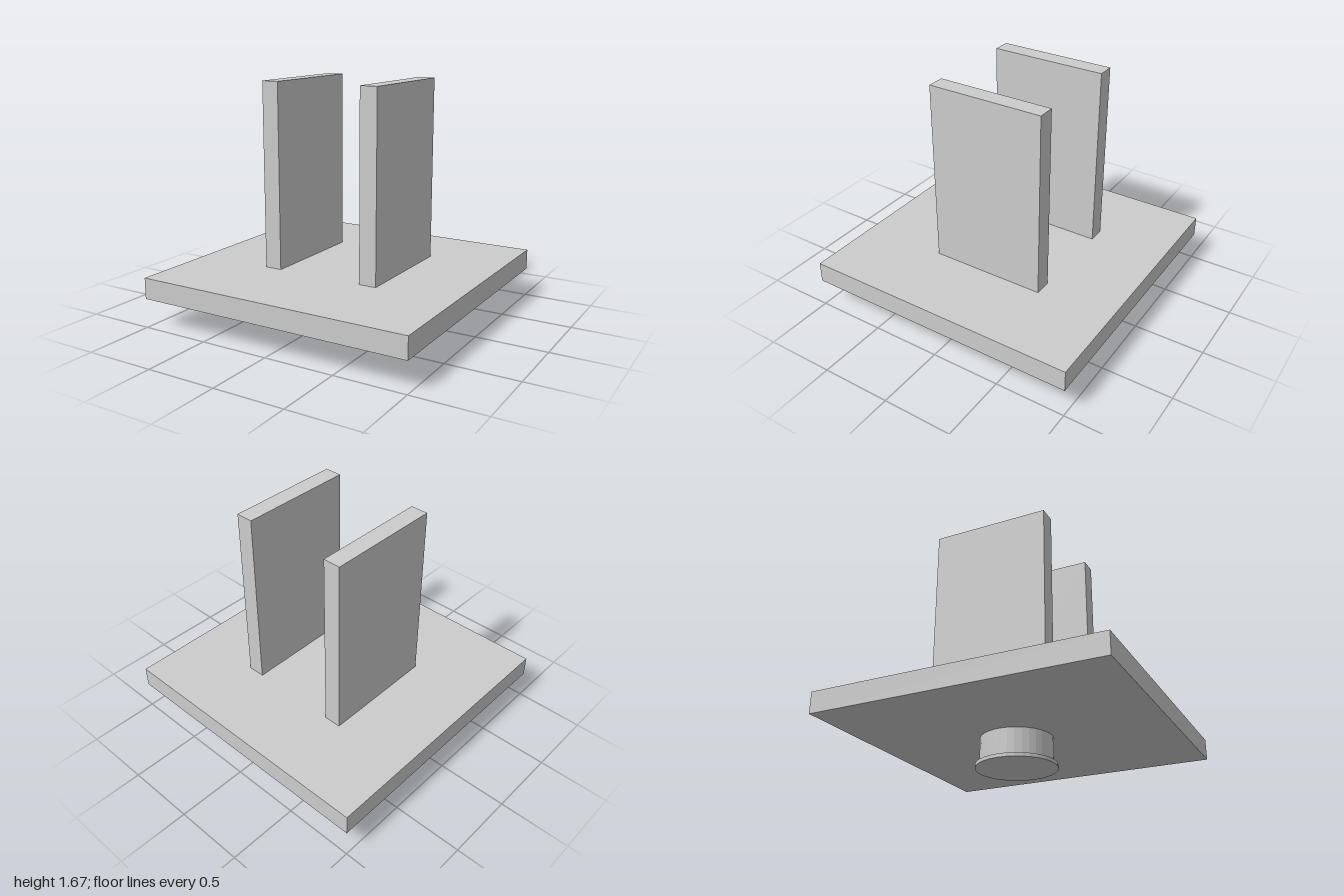
import * as THREE from 'three';

export function createModel() {
  const model = new THREE.Group();
  const material = new THREE.MeshStandardMaterial({ color: 0xcccccc, flatShading: true });
  const centreZ = -0.047; // shared by the plates and the spigot

  // Adds a mesh whose underside sits at the given height
  function add(name, geometry, x, bottom, height, z) {
    const mesh = new THREE.Mesh(geometry, material);
    mesh.name = name;
    mesh.position.set(x, bottom + height / 2, z);
    model.add(mesh);
  }

  // Square base slab
  add('baseSlab', new THREE.BoxGeometry(2, 0.149, 2), 0, 0.207, 0.149, 0);

  // Pair of upright plates
  for (const [name, side] of [['leftPlate', 1], ['rightPlate', -1]]) {
    add(name, new THREE.BoxGeometry(0.125, 1.311, 0.835), side * 0.38, 0.356, 1.311, centreZ);
  }

  // Round spigot under the slab, with a thin flange at its foot
  add('spigot', new THREE.CylinderGeometry(0.25, 0.25, 0.182, 32), 0, 0.025, 0.182, centreZ);
  add('spigotFlange', new THREE.CylinderGeometry(0.28, 0.28, 0.025, 32), 0, 0, 0.025, centreZ);

  return model;
}
